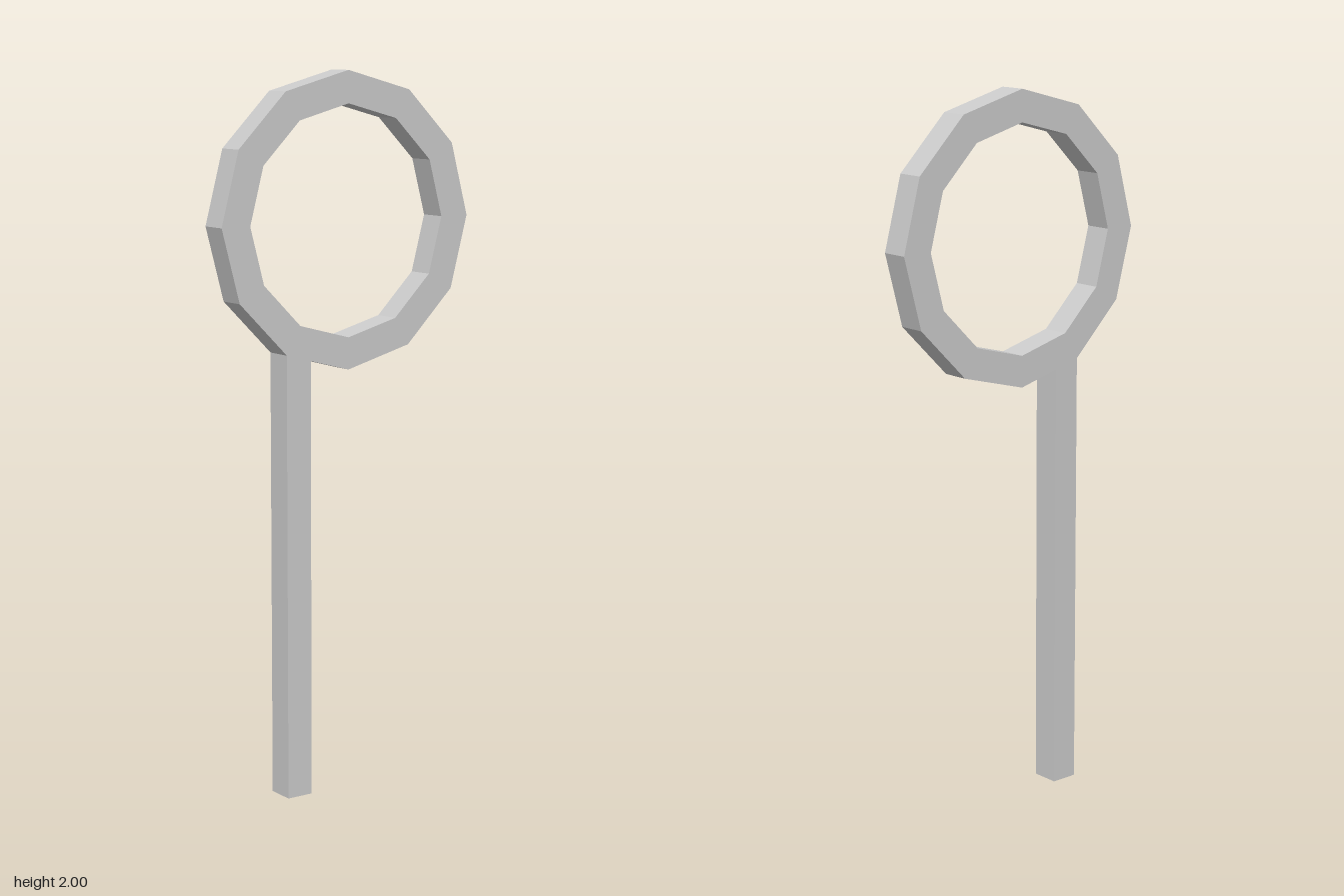
import * as THREE from 'three';

const SIDES = 12, OUTER = 0.406, INNER = 0.317, CENTER_Y = 1.594;
const DEPTH = 0.08, STEM_RIGHT = -0.125;

// Corners of a regular polygon, counter-clockwise from the lower-left corner where the stem joins
function ringPoints(radius) {
  return Array.from({ length: SIDES }, (_, i) => {
    const a = ((i + 8) / SIDES) * Math.PI * 2;
    return new THREE.Vector2(Math.cos(a) * radius, CENTER_Y + Math.sin(a) * radius);
  });
}

export function createModel() {
  const group = new THREE.Group();
  const material = new THREE.MeshStandardMaterial({ color: 0xcccccc, flatShading: true });

  // Ring outline, with the square stem running down from its lower-left edge
  const outer = ringPoints(OUTER);
  const [corner, next] = outer;
  const t = (STEM_RIGHT - corner.x) / (next.x - corner.x);
  const join = corner.clone().lerp(next, t);
  const stem = [new THREE.Vector2(corner.x, 0), new THREE.Vector2(STEM_RIGHT, 0), join];
  const shape = new THREE.Shape([corner, ...stem, ...outer.slice(1)]);

  // Twelve-sided opening
  shape.holes.push(new THREE.Path(ringPoints(INNER).reverse()));

  const geometry = new THREE.ExtrudeGeometry(shape, { depth: DEPTH, bevelEnabled: false });
  geometry.translate(0, 0, -DEPTH / 2);
  const mesh = new THREE.Mesh(geometry, material);
  mesh.name = 'ringWithStem';
  group.add(mesh);
  return group;
}
